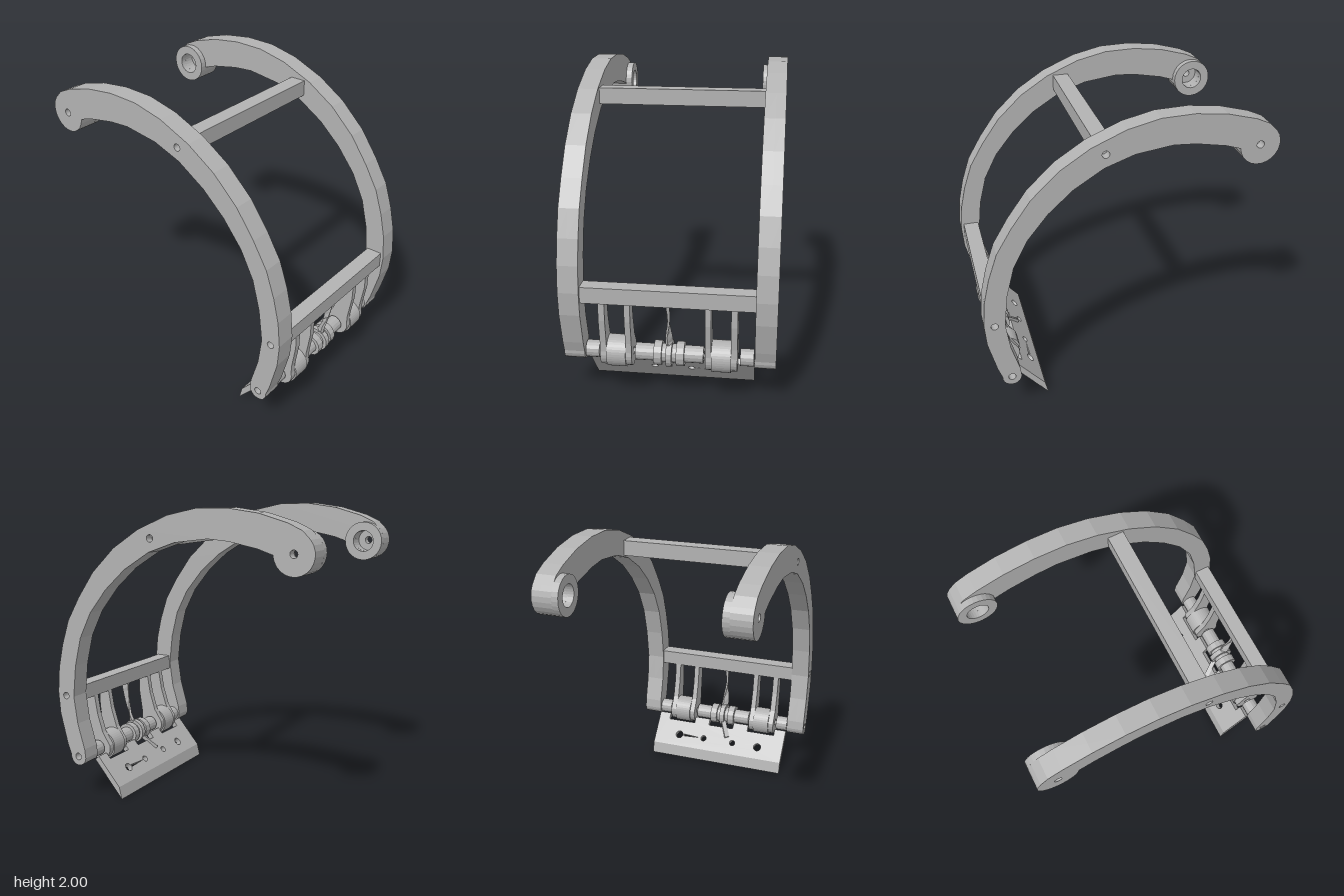
import * as THREE from 'three';

const steel = new THREE.MeshStandardMaterial({ color: 0xb2b2b2 });
steel.name = 'light grey metal';

const PIVOT = [0.775, 0.31];      // z, y of the lower axle
const BOSS = [-0.8, 1.755];       // z, y of the upper hinge

const hole = (c, r) => new THREE.Path().absarc(c[0], c[1], r, 0, Math.PI * 2, true);
const outline = pts => new THREE.Shape(pts.map(p => new THREE.Vector2(...p)));

export function createModel() {
  const model = new THREE.Group();
  const add = (name, geo) => {
    const mesh = new THREE.Mesh(geo, steel);
    mesh.name = name;
    model.add(mesh);
    return mesh;
  };

  // Extrudes a (z, y) shape between two x positions
  const across = (name, shape, x0, x1, curveSegments = 12) => {
    const geo = new THREE.ExtrudeGeometry(shape, { depth: x1 - x0, bevelEnabled: false, curveSegments });
    geo.rotateY(-Math.PI / 2).translate(x1, 0, 0);
    return add(name, geo);
  };
  const ring = (name, c, r, bore, x0, x1, seg = 20) => {
    const s = new THREE.Shape().absarc(c[0], c[1], r, 0, Math.PI * 2, false);
    s.holes.push(hole(c, bore));
    return across(name, s, x0, x1, seg);
  };
  // Same part on both sides, given by its x range on the left
  const both = (x0, x1, fn) => { fn(x0, x1); fn(-x1, -x0); };

  // Curved arm profile, outer edge up and over, then inner edge back down
  const outer = [[0.863, 0.39], [0.915, 0.6], [0.926, 0.75], [0.91, 0.92], [0.873, 1.08], [0.815, 1.25],
    [0.72, 1.41], [0.598, 1.58], [0.43, 1.74], [0.243, 1.86], [0.03, 1.95], [-0.17, 1.995], [-0.375, 2],
    [-0.577, 1.975], [-0.76, 1.925], [-0.85, 1.885]];
  const inner = [[-0.577, 1.775], [-0.39, 1.81], [-0.25, 1.82], [-0.02, 1.79], [0.165, 1.725], [0.35, 1.61],
    [0.5, 1.475], [0.63, 1.315], [0.72, 1.14], [0.77, 0.945], [0.795, 0.73], [0.77, 0.545], [0.72, 0.37]];
  const arc = (c, r, a0, a1, n) => Array.from({ length: n + 1 }, (_, i) => {
    const a = a0 + (a1 - a0) * i / n;
    return [c[0] + r * Math.cos(a), c[1] + r * Math.sin(a)];
  });
  const armShape = holes => {
    const s = outline([...outer, ...arc(BOSS, 0.128, 2.45, 6.2, 14), ...inner,
      ...arc(PIVOT, 0.062, 3.2, 6.4, 10)]);
    s.holes = holes.map(([c, r]) => hole(c, r));
    return s;
  };
  const innerHoles = [[BOSS, 0.07], [PIVOT, 0.024]];
  const outerHoles = [[BOSS, 0.024], [PIVOT, 0.024], [[0.155, 1.81], 0.023], [[0.86, 0.73], 0.023]];
  for (const s of [1, -1]) {
    const span = (a, b) => s > 0 ? [a, b] : [-b, -a];
    const side = s > 0 ? 'left' : 'right';
    across(side + 'ArmInner', armShape(innerHoles), ...span(0.53, 0.6));
    across(side + 'ArmOuter', armShape(outerHoles), ...span(0.6, 0.66));
    ring(side + 'HingeBoss', BOSS, 0.128, 0.07, ...span(0.487, 0.53), 14);
  }

  // Cross bars
  const bar = (name, y, z) => add(name, new THREE.BoxGeometry(1.06, 0.103, 0.104).translate(0, y, z));
  bar('upperCrossBar', 1.81, 0.15);
  bar('lowerCrossBar', 0.732, 0.853);

  // Hanger straps either side of each roller
  const strap = outline([[0.885, 0.7], [0.885, 0.56], [0.862, 0.4], ...arc(PIVOT, 0.09, 0.3, -3.4, 14),
    [0.745, 0.42], [0.785, 0.55], [0.81, 0.7]].reverse());
  strap.holes.push(hole(PIVOT, 0.024));
  both(0.385, 0.425, (a, b) => across('outerStrap', strap, a, b));
  both(0.228, 0.265, (a, b) => across('innerStrap', strap, a, b));

  // Rollers and axle tubes
  both(0.265, 0.385, (a, b) => ring('roller', PIVOT, 0.1, 0.024, a, b));
  both(0.44, 0.525, (a, b) => ring('outerAxleTube', PIVOT, 0.054, 0.024, a, b, 8));
  both(0.09, 0.213, (a, b) => ring('innerAxleTube', PIVOT, 0.054, 0.024, a, b, 8));

  // Central hub made of chunky rings
  both(0.045, 0.095, (a, b) => ring('hubFlange', PIVOT, 0.078, 0.024, a, b, 7));
  both(0.018, 0.045, (a, b) => ring('hubCollar', PIVOT, 0.06, 0.024, a, b, 7));
  ring('hubCore', PIVOT, 0.085, 0.024, -0.018, 0.018, 9);

  // Twisted spring blade from the lower bar to the hub
  const blade = new THREE.BoxGeometry(0.026, 0.34, 0.06, 1, 8, 1);
  const p = blade.attributes.position;
  for (let i = 0; i < p.count; i++) {
    const t = 0.5 - p.getY(i) / 0.34;
    const a = 1.1 * Math.sin(t * Math.PI * 2) * t;
    const w = 1 - 0.45 * Math.sin(t * Math.PI);
    const x = p.getX(i) * w, z = p.getZ(i) * w;
    p.setXYZ(i, x * Math.cos(a) + z * Math.sin(a), 0.7 - 0.34 * t,
      0.85 - 0.065 * t * t - x * Math.sin(a) + z * Math.cos(a));
  }
  add('springBlade', blade.toNonIndexed()).geometry.computeVertexNormals();

  // Short finger trailing from the hub over the plate
  const finger = new THREE.BoxGeometry(0.035, 0.025, 0.14);
  const tail = add('hubFinger', finger);
  tail.position.set(-0.04, 0.23, 0.67);
  tail.lookAt(-0.085, 0.16, 0.6);

  // Scraper plate: sloping body with bolt holes, notched around the rollers
  const top = 0.335, low = 0.285, end = 0.077;
  const rightEdge = [[0.525, end], [0.525, top], [0.437, top], [0.437, low], [0.22, low],
    [0.22, top], [0.1, top], [0.1, low]];
  const plate = outline([...rightEdge, ...rightEdge.map(([x, s]) => [-x, s]).reverse()]);
  for (const [x, r] of [[-0.325, 0.029], [-0.12, 0.022], [0.12, 0.022], [0.325, 0.029]])
    plate.holes.push(hole([x, 0.17], r));
  plate.holes.push(new THREE.Path([[0.15, 0.17], [0.288, 0.179], [0.288, 0.164]]
    .map(q => new THREE.Vector2(...q))));
  const plateGeo = new THREE.ExtrudeGeometry(plate, { depth: 0.04, bevelEnabled: false, curveSegments: 12 });
  plateGeo.applyMatrix4(new THREE.Matrix4().makeBasis(new THREE.Vector3(1, 0, 0),
    new THREE.Vector3(0, 0.758, 0.652), new THREE.Vector3(0, -0.652, 0.758)).setPosition(0, 0.026, 0.49));
  add('scraperPlate', plateGeo);

  // Sharpened lower edge
  across('scraperEdge', outline([[0.52, 0], [0.5702, 0.0584], [0.5402, 0.0844]]), -0.525, 0.525);

  return model;
}
